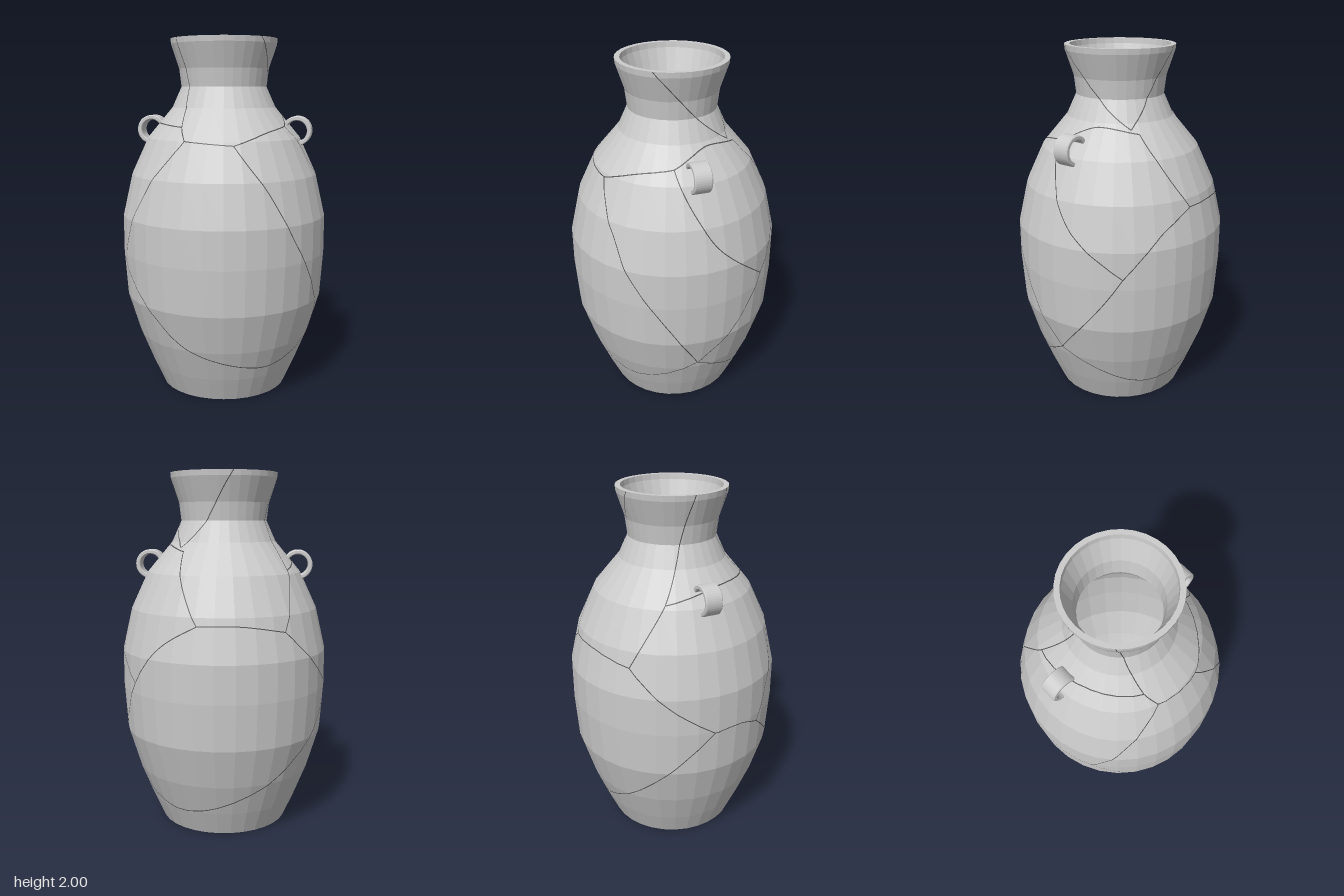
import * as THREE from 'three';

const SIDES = 32;
const WALL = 0.028;

// Outer profile, foot to lip: [radius, height]
const PROFILE = [
  [0.366, 0], [0.428, 0.14], [0.5, 0.32], [0.568, 0.545], [0.586, 0.8], [0.586, 1.01],
  [0.532, 1.245], [0.437, 1.45], [0.295, 1.62], [0.243, 1.735], [0.255, 1.835],
  [0.3, 1.97], [0.303, 2],
];

// Cracks between shards, as [angle in degrees from the front towards +x, height]
const CRACKS = [
  [[-25, 1.52], [-17, 1.45]],
  [[-17, 1.45], [18, 1.43]],
  [[-17, 1.45], [-34, 1.25], [-50, 0.97], [-61, 0.75]],
  [[-25, 1.52], [-40, 1.75], [-47, 2]],
  [[-61, 0.75], [-39, 0.57], [-12, 0.33], [34, 0.21], [63, 0.25], [88, 0.36]],
  [[18, 1.43], [36, 1.2], [50, 0.95], [70, 0.65], [88, 0.36]],
  [[18, 1.43], [45, 1.49], [73, 1.52]],
  [[73, 1.52], [105, 1.6], [145, 1.57]],
  [[73, 1.52], [86, 1.3], [100, 1.1], [129, 0.86]],
  [[88, 0.36], [104, 0.53], [118, 0.7], [129, 0.86]],
  [[129, 0.86], [149, 1.08], [170, 1.2]],
  [[145, 1.57], [170, 1.2]],
  [[138, 1.59], [110, 1.7], [80, 1.84], [53, 2]],
  [[138, 1.59], [165, 1.75], [195, 2]],
  [[170, 1.2], [195, 1.2], [221, 1.16]],
  [[221, 1.16], [230, 1.32], [240, 1.47]],
  [[240, 1.47], [252, 1.7], [268, 2]],
  [[240, 1.47], [285, 1.53], [335, 1.52]],
  [[221, 1.16], [245, 0.95], [268, 0.79]],
  [[268, 0.79], [284, 0.8], [299, 0.75]],
  [[88, 0.36], [133, 0.17], [165, 0.15], [200, 0.25], [228, 0.41], [268, 0.79]],
];

// Point just above the faceted outer surface
function surfacePoint(angle, height) {
  const y = THREE.MathUtils.clamp(height, 0, 2);
  let i = 0;
  while (i < PROFILE.length - 2 && PROFILE[i + 1][1] < y) i++;
  const [r0, y0] = PROFILE[i];
  const [r1, y1] = PROFILE[i + 1];
  const step = (2 * Math.PI) / SIDES;
  const fromMiddle = angle - (Math.floor(angle / step) + 0.5) * step;
  const facet = Math.cos(step / 2) / Math.cos(fromMiddle);
  const r = THREE.MathUtils.lerp(r0, r1, (y - y0) / (y1 - y0)) * facet + 0.0015;
  return new THREE.Vector3(r * Math.sin(angle), y, r * Math.cos(angle));
}

// Narrow ribbon that follows the surface along one crack
function crackGeometry(points, halfWidth = 0.0025) {
  const path = new THREE.SplineCurve(points.map(([a, y]) =>
    new THREE.Vector2(THREE.MathUtils.degToRad(a), y)));
  const steps = 80;
  const positions = [];
  const index = [];
  for (let i = 0; i <= steps; i++) {
    const p = path.getPoint(i / steps);
    const tangent = path.getTangent(i / steps);
    const r = Math.hypot(surfacePoint(p.x, p.y).x, surfacePoint(p.x, p.y).z);
    const across = new THREE.Vector2(-tangent.y, tangent.x * r).normalize();
    for (const s of [-halfWidth, halfWidth]) {
      positions.push(...surfacePoint(p.x + (across.x * s) / r, p.y + across.y * s).toArray());
    }
    if (i < steps) {
      const k = i * 2;
      index.push(k, k + 1, k + 2, k + 1, k + 3, k + 2);
    }
  }
  const geometry = new THREE.BufferGeometry();
  geometry.setAttribute('position', new THREE.Float32BufferAttribute(positions, 3));
  geometry.setIndex(index);
  geometry.computeVertexNormals();
  return geometry;
}

// Curved strap with its ends sunk into the shoulder
function handleGeometry() {
  const start = THREE.MathUtils.degToRad(-105);
  const end = THREE.MathUtils.degToRad(150);
  const bevel = 0.005;
  const shape = new THREE.Shape();
  shape.absarc(0, 0, 0.083 - bevel, start, end, false);
  shape.absarc(0, 0, 0.058 + bevel, end, start, true);
  shape.closePath();
  const geometry = new THREE.ExtrudeGeometry(shape, {
    depth: 0.096 - 2 * bevel, curveSegments: 14,
    bevelEnabled: true, bevelSize: bevel, bevelThickness: bevel, bevelSegments: 1,
  });
  return geometry.translate(0, 0, -0.048 + bevel);
}

export function createModel() {
  const clay = new THREE.MeshStandardMaterial({ color: 0xcccccc, flatShading: true });
  const crackMaterial = new THREE.MeshStandardMaterial({ color: 0x555555, side: THREE.DoubleSide });
  const model = new THREE.Group();
  model.name = 'crackedJar';

  // Hollow body: foot, outer wall, lip, inner wall and floor
  const inner = PROFILE.slice(1).reverse().map(([r, y]) => [r - WALL, y]);
  const section = [[0, 0], ...PROFILE, ...inner, [0.366 - WALL, WALL], [0, WALL]];
  const body = new THREE.Mesh(
    new THREE.LatheGeometry(section.map(([r, y]) => new THREE.Vector2(r, y)), SIDES), clay);
  body.name = 'body';
  model.add(body);

  // Two small loop handles on the shoulder
  const loop = handleGeometry();
  for (const side of [1, -1]) {
    const handle = new THREE.Mesh(loop, clay);
    handle.name = side > 0 ? 'leftHandle' : 'rightHandle';
    handle.position.set(side * 0.423, 1.49, 0);
    handle.rotation.y = side > 0 ? 0 : Math.PI;
    model.add(handle);
  }

  // Fine cracks over the surface
  const cracks = new THREE.Group();
  cracks.name = 'cracks';
  for (const points of CRACKS) {
    const crack = new THREE.Mesh(crackGeometry(points), crackMaterial);
    crack.name = 'crack';
    cracks.add(crack);
  }
  model.add(cracks);
  return model;
}
